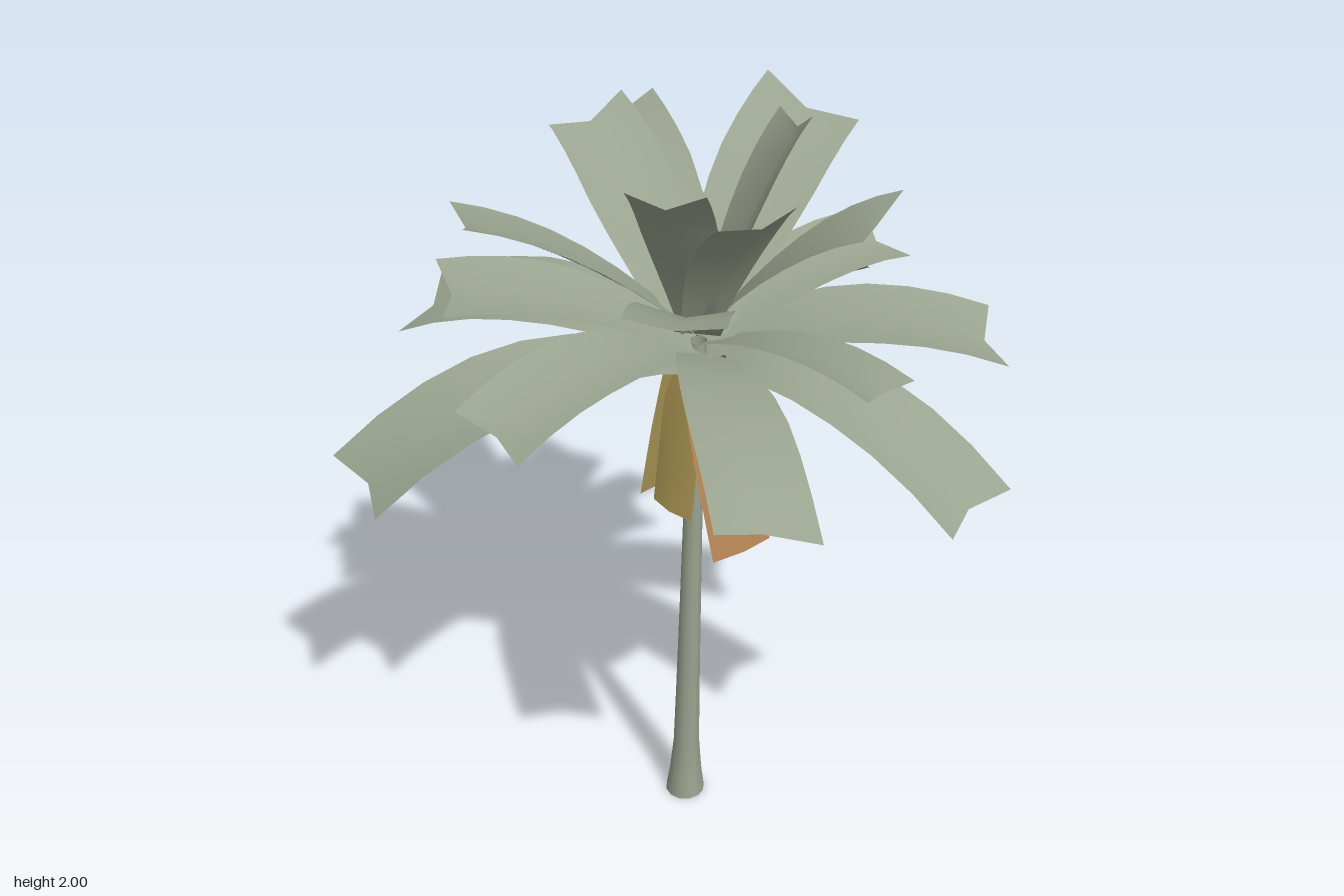
import * as THREE from 'three';

const green = new THREE.MeshStandardMaterial({ color: 0x9aa38f, side: THREE.DoubleSide });
green.name = 'sage green';
const orange = new THREE.MeshStandardMaterial({ color: 0xb68455, side: THREE.DoubleSide });
orange.name = 'dry orange';
const yellow = new THREE.MeshStandardMaterial({ color: 0xb59e58, side: THREE.DoubleSide });
yellow.name = 'dry yellow';

const V = (x, y, z) => new THREE.Vector3(x, y, z);
const CROWN = V(-0.02, 1.45, 0.02);

// Two tip corners of each frond: x, y, z, x, y, z
const lowFronds = [
  [-0.43, 1.38, -0.65, -0.21, 1.44, -0.76],
  [-0.73, 1.20, -0.52, -0.78, 1.16, -0.27],
  [-0.67, 1.50, -0.06, -0.67, 1.46, 0.16],
  [-0.50, 1.42, 0.58, -0.30, 1.36, 0.70],
  [0.06, 1.23, 0.76, 0.29, 1.25, 0.74],
  [0.67, 1.28, -0.35, 0.78, 1.34, -0.14],
  [0.09, 1.20, -0.72, 0.28, 1.19, -0.62],
];
const middleFronds = [
  [-0.44, 1.66, -0.43, -0.56, 1.62, -0.24],
  [-0.13, 1.61, 0.65, 0.08, 1.56, 0.60],
  [0.37, 1.50, 0.64, 0.53, 1.53, 0.45],
  [0.47, 1.61, 0.25, 0.51, 1.66, 0.06],
  [0.25, 1.60, -0.62, 0.41, 1.61, -0.45],
];
const highFronds = [
  [-0.44, 1.83, -0.35, -0.56, 1.87, -0.13],
  [-0.47, 1.78, 0.27, -0.34, 1.78, 0.45],
  [-0.22, 1.90, 0.29, 0.00, 1.92, 0.34],
  [0.08, 1.83, 0.43, 0.30, 1.86, 0.35],
  [0.46, 1.95, -0.24, 0.55, 1.86, -0.01],
  [0.08, 1.78, -0.63, 0.35, 1.85, -0.55],
  [-0.11, 1.91, -0.40, 0.10, 1.95, -0.38],
  [-0.29, 1.94, 0.08, -0.21, 1.96, 0.25],
  [0.30, 1.95, -0.04, 0.21, 2.00, 0.15],
];

// Ribbon swept along a curve, with a shallow gutter down its middle
function ribbon(curve, side, rootWidth, fold, notch, segments = 7) {
  const pos = [], index = [];
  for (let i = 0; i <= segments; i++) {
    const t = i / segments;
    const c = curve.getPoint(t), dir = curve.getTangent(t);
    const normal = dir.clone().cross(side).normalize();
    if (normal.y < 0) normal.negate();
    const w = rootWidth + (1 - rootWidth) * Math.sin(Math.min(1, t * 1.5) * Math.PI / 2);
    for (const s of [-1, 0, 1]) {
      const p = c.clone().addScaledVector(side, s * w);
      if (s === 0) {
        p.addScaledVector(normal, -fold * Math.min(1, t * 2));
        if (i === segments) p.addScaledVector(dir, -notch);
      }
      pos.push(p.x, p.y, p.z);
    }
    if (i === segments) continue;
    for (const k of [0, 1]) {
      const a = i * 3 + k, b = a + 1, d = a + 3, e = a + 4;
      index.push(a, d, b, b, d, e);
    }
  }
  // Wind the triangles so that the upper side is the front
  const d0 = curve.getTangent(0.5);
  if (d0.cross(side).y < 0) {
    for (let i = 0; i < index.length; i += 3) [index[i], index[i + 1]] = [index[i + 1], index[i]];
  }
  const geo = new THREE.BufferGeometry();
  geo.setAttribute('position', new THREE.Float32BufferAttribute(pos, 3));
  geo.setIndex(index);
  geo.computeVertexNormals();
  return geo;
}

// Arching frond from the crown to its two tip corners
function frond([x1, y1, z1, x2, y2, z2]) {
  const a = V(x1, y1, z1), b = V(x2, y2, z2);
  const tip = a.clone().add(b).multiplyScalar(0.5);
  const side = b.sub(a).multiplyScalar(0.5);
  const out = V(tip.x - CROWN.x, 0, tip.z - CROWN.z).normalize();
  const root = CROWN.clone().addScaledVector(out, 0.02);
  root.y = 1.42 + 0.13 * (tip.y - 1.2);
  const control = root.clone().lerp(tip, 0.5);
  control.y += 0.11 + Math.max(0, 1.6 - tip.y) * 0.35;
  const mesh = new THREE.Mesh(
    ribbon(new THREE.QuadraticBezierCurve3(root, control, tip), side, 0.5, 0.025, 0.025), green);
  mesh.name = 'frond';
  return mesh;
}

// Dead leaf hanging against the trunk
function hangingLeaf(top, bottom, side, material) {
  const mid = top.clone().lerp(bottom, 0.5);
  const curve = new THREE.QuadraticBezierCurve3(top, mid, bottom);
  const mesh = new THREE.Mesh(ribbon(curve, side, 0.85, -0.012, 0, 4), material);
  mesh.name = 'hangingLeaf';
  return mesh;
}

export function createModel() {
  const model = new THREE.Group();

  // Trunk: flared foot, leaning slightly as it rises
  const profile = [[0.055, 0], [0.046, 0.07], [0.037, 0.18], [0.033, 0.4], [0.028, 0.75], [0.025, 1.0], [0.022, 1.47]];
  const trunkGeo = new THREE.LatheGeometry(profile.map(([r, y]) => new THREE.Vector2(r, y)), 12);
  const p = trunkGeo.attributes.position;
  for (let i = 0; i < p.count; i++) {
    const y = p.getY(i);
    p.setX(i, p.getX(i) - 0.04 + 0.012 * y);
    p.setZ(i, p.getZ(i) - 0.015 + 0.025 * y);
  }
  trunkGeo.computeVertexNormals();
  const trunk = new THREE.Mesh(trunkGeo, green);
  trunk.name = 'trunk';
  model.add(trunk);

  // Crown in three tiers
  const tiers = { lowFronds, middleFronds, highFronds };
  for (const name in tiers) {
    const tier = new THREE.Group();
    tier.name = name;
    tiers[name].forEach((corners) => tier.add(frond(corners)));
    model.add(tier);
  }

  // Skirt of dead leaves
  const skirt = new THREE.Group();
  skirt.name = 'skirt';
  skirt.add(
    hangingLeaf(V(-0.02, 1.45, 0.04), V(0.0, 0.915, 0.16), V(0.09, 0, 0.01), orange),
    hangingLeaf(V(0.01, 1.45, 0.03), V(0.12, 0.97, 0.055), V(0.015, 0, -0.078), orange),
    hangingLeaf(V(-0.02, 1.45, 0.0), V(0.0, 0.98, -0.12), V(-0.08, 0, -0.015), yellow),
    hangingLeaf(V(-0.05, 1.45, 0.02), V(-0.1, 1.01, 0.01), V(0, 0, 0.07), yellow),
  );
  model.add(skirt);
  return model;
}
